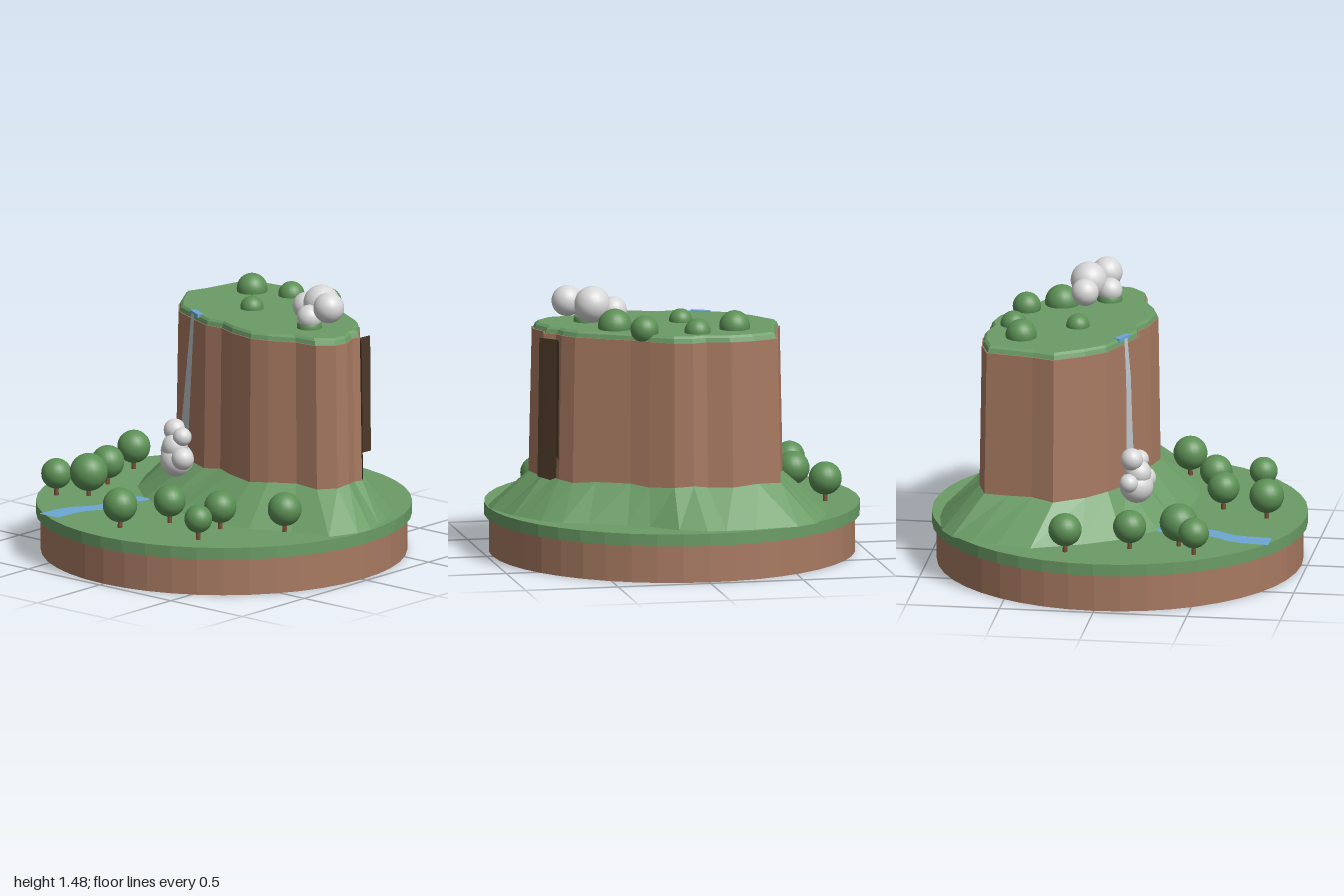
import * as THREE from 'three';

const material = (name, color, extra = {}) => {
  const m = new THREE.MeshStandardMaterial({ color, ...extra });
  m.name = name;
  return m;
};

export function createModel() {
  const model = new THREE.Group();
  model.name = 'mesaIsland';
  const double = { side: THREE.DoubleSide };
  const earth = material('earth brown', 0xa87a62, { flatShading: true });
  const grass = material('grass green', 0x6b9c66, { flatShading: true });
  const foliage = material('foliage green', 0x5c9055);
  const trunkBrown = material('trunk brown', 0x7a4f38);
  const stone = material('pale grey', 0xd8d8d8);
  const water = material('water blue', 0x6ca6d3, double);
  const fallGrey = material('waterfall grey', 0xbfc6cc, double);
  const crackDark = material('crevice dark', 0x4a3828, double);

  const add = (name, geometry, mat, x = 0, y = 0, z = 0, parent = model) => {
    const mesh = new THREE.Mesh(geometry, mat);
    mesh.name = name;
    mesh.position.set(x, y, z);
    parent.add(mesh);
    return mesh;
  };
  const group = (name) => {
    const g = new THREE.Group();
    g.name = name;
    model.add(g);
    return g;
  };

  // Skin a stack of closed rings, optionally closing the last one
  const loft = (rings, capCentre) => {
    const pos = [];
    const n = rings[0].length;
    for (let r = 0; r < rings.length - 1; r++) {
      const a = rings[r], b = rings[r + 1];
      for (let i = 0; i < n; i++) {
        const j = (i + 1) % n;
        pos.push(...a[i], ...b[i], ...a[j], ...a[j], ...b[i], ...b[j]);
      }
    }
    if (capCentre) {
      const top = rings[rings.length - 1];
      for (let i = 0; i < n; i++) pos.push(...capCentre, ...top[(i + 1) % n], ...top[i]);
    }
    const g = new THREE.BufferGeometry();
    g.setAttribute('position', new THREE.Float32BufferAttribute(pos, 3));
    g.computeVertexNormals();
    return g;
  };

  // Open ribbon through pairs of edge points
  const ribbon = (pairs) => {
    const pos = [];
    for (let i = 0; i < pairs.length - 1; i++) {
      const [a, b] = pairs[i], [c, d] = pairs[i + 1];
      pos.push(...a, ...c, ...b, ...b, ...c, ...d);
    }
    const g = new THREE.BufferGeometry();
    g.setAttribute('position', new THREE.Float32BufferAttribute(pos, 3));
    g.computeVertexNormals();
    return g;
  };

  // Round base
  add('earthBase', new THREE.CylinderGeometry(0.97, 0.97, 0.2, 44), earth, 0, 0.1, 0);
  add('grassDisc', new THREE.CylinderGeometry(0.995, 0.995, 0.065, 44), grass, 0, 0.2325, 0);

  // Mesa outline at the cliff foot, and the matching foot of the slope (x, z)
  const outline = [
    [-0.45, -0.66], [-0.32, -0.705], [-0.18, -0.72], [-0.05, -0.69], [0.03, -0.71], [0.13, -0.69],
    [0.25, -0.615], [0.34, -0.55], [0.51, -0.46], [0.62, -0.4], [0.68, -0.33], [0.7, -0.28],
    [0.76, -0.24], [0.75, -0.19], [0.79, -0.1], [0.78, -0.02], [0.7, 0.055], [0.57, 0.07],
    [0.43, 0.14], [0.33, 0.17], [0.17, 0.145], [0.06, 0.1], [-0.04, 0.115], [-0.18, 0.06],
    [-0.35, -0.015], [-0.44, -0.12], [-0.54, -0.28], [-0.5, -0.4], [-0.475, -0.53]];
  const slopeFoot = [
    [-0.61, -0.81], [-0.5, -0.88], [-0.26, -0.925], [-0.1, -0.93], [0, -0.925], [0.14, -0.86],
    [0.27, -0.73], [0.38, -0.67], [0.57, -0.58], [0.7, -0.52], [0.8, -0.44], [0.86, -0.35],
    [0.915, -0.26], [0.95, -0.16], [0.99, -0.05], [0.985, 0.05], [0.92, 0.21], [0.7, 0.26],
    [0.49, 0.36], [0.33, 0.38], [0.13, 0.365], [-0.03, 0.35], [-0.18, 0.315], [-0.34, 0.25],
    [-0.53, 0.09], [-0.65, -0.11], [-0.76, -0.37], [-0.72, -0.56], [-0.67, -0.69]];
  const cx = 0.12, cz = -0.27;
  const ring = (y, s) => outline.map(([x, z]) => [cx + (x - cx) * s, y, cz + (z - cz) * s]);

  const slopeTop = ring(0.462, 1).map(([x, y, z], i) => [x, y + 0.008 * Math.sin(i * 1.9), z]);
  add('grassSlope', loft([slopeFoot.map(([x, z]) => [x, 0.264, z]), slopeTop]), grass);
  add('cliff', loft([ring(0.44, 1), ring(1.235, 0.975), ring(1.236, 0.95)]), earth);
  add('summitGrass', loft([ring(1.235, 0.963), ring(1.258, 0.95), ring(1.27, 0.925)], [cx, 1.27, cz]), grass);

  // Folded dark crevice on the left side of the mesa
  add('crevice', ribbon([
    [[0.695, 0.58, -0.385], [0.69, 1.21, -0.385]],
    [[0.688, 0.58, -0.305], [0.685, 1.21, -0.305]]]), crackDark);
  add('creviceFront', ribbon([
    [[0.688, 0.445, -0.305], [0.685, 1.21, -0.305]],
    [[0.775, 0.465, -0.23], [0.765, 1.21, -0.23]]]), crackDark);

  // Stream across the grass
  const path = new THREE.CatmullRomCurve3([
    [-0.33, 0.25], [-0.375, 0.4], [-0.365, 0.53], [-0.45, 0.68], [-0.475, 0.87],
  ].map(([x, z]) => new THREE.Vector3(x, 0.271, z)));
  add('stream', ribbon(path.getPoints(20).map((p, i) => {
    const w = 0.05 + 0.015 * i / 20;
    return [[p.x - w, p.y, p.z], [p.x + w, p.y, p.z]];
  })), water);

  // Waterfall with its spring at the rim
  add('waterfall', ribbon([
    [[-0.185, 1.268, 0.05], [-0.155, 1.268, 0.062]],
    [[-0.2, 1.05, 0.062], [-0.153, 1.05, 0.08]],
    [[-0.222, 0.82, 0.066], [-0.16, 0.82, 0.088]],
    [[-0.25, 0.55, 0.07], [-0.165, 0.55, 0.1]]]), fallGrey);
  add('spring', new THREE.BoxGeometry(0.105, 0.02, 0.035), water, -0.16, 1.264, 0.035).rotation.y = -0.45;

  // Clusters of balls: x, y, z, radius
  const ball = (r) => new THREE.SphereGeometry(r, 22, 16);
  const cluster = (name, balls) => {
    const g = group(name);
    for (const [x, y, z, r] of balls) add('ball', ball(r), stone, x, y, z, g);
  };
  cluster('splashFoam', [
    [-0.257, 0.625, 0.1, 0.06], [-0.18, 0.605, 0.13, 0.05], [-0.23, 0.545, 0.13, 0.07],
    [-0.155, 0.495, 0.155, 0.06], [-0.3, 0.505, 0.09, 0.05], [-0.225, 0.47, 0.12, 0.09]]);
  cluster('summitPuffs', [
    [0.48, 1.38, -0.235, 0.097], [0.368, 1.345, -0.24, 0.073],
    [0.6, 1.39, -0.155, 0.082], [0.49, 1.325, -0.125, 0.067]]);

  // Summit bushes
  const bushes = group('summitBushes');
  for (const [x, y, z, r] of [
    [-0.235, 1.285, -0.495, 0.082], [-0.02, 1.275, -0.565, 0.07], [0.26, 1.29, -0.535, 0.075],
    [0.385, 1.285, -0.365, 0.09], [0, 1.275, -0.225, 0.062], [0.49, 1.272, -0.125, 0.067]]) {
    add('bush', ball(r), foliage, x, y, z, bushes);
  }

  // Trees on the lower meadow
  const trees = group('trees');
  for (const [x, z, r] of [
    [-0.79, -0.18, 0.088], [-0.685, 0.15, 0.088], [-0.74, 0.5, 0.081], [-0.6, 0.4, 0.101],
    [-0.04, 0.79, 0.092], [0.09, 0.54, 0.085], [0.375, 0.46, 0.086], [0.435, 0.705, 0.074],
    [0.67, 0.28, 0.09]]) {
    add('crown', ball(r), foliage, x, 0.385 + (r - 0.085) * 0.6, z, trees);
    add('trunk', new THREE.CylinderGeometry(0.01, 0.013, 0.1, 8), trunkBrown, x, 0.31, z, trees);
  }
  return model;
}
